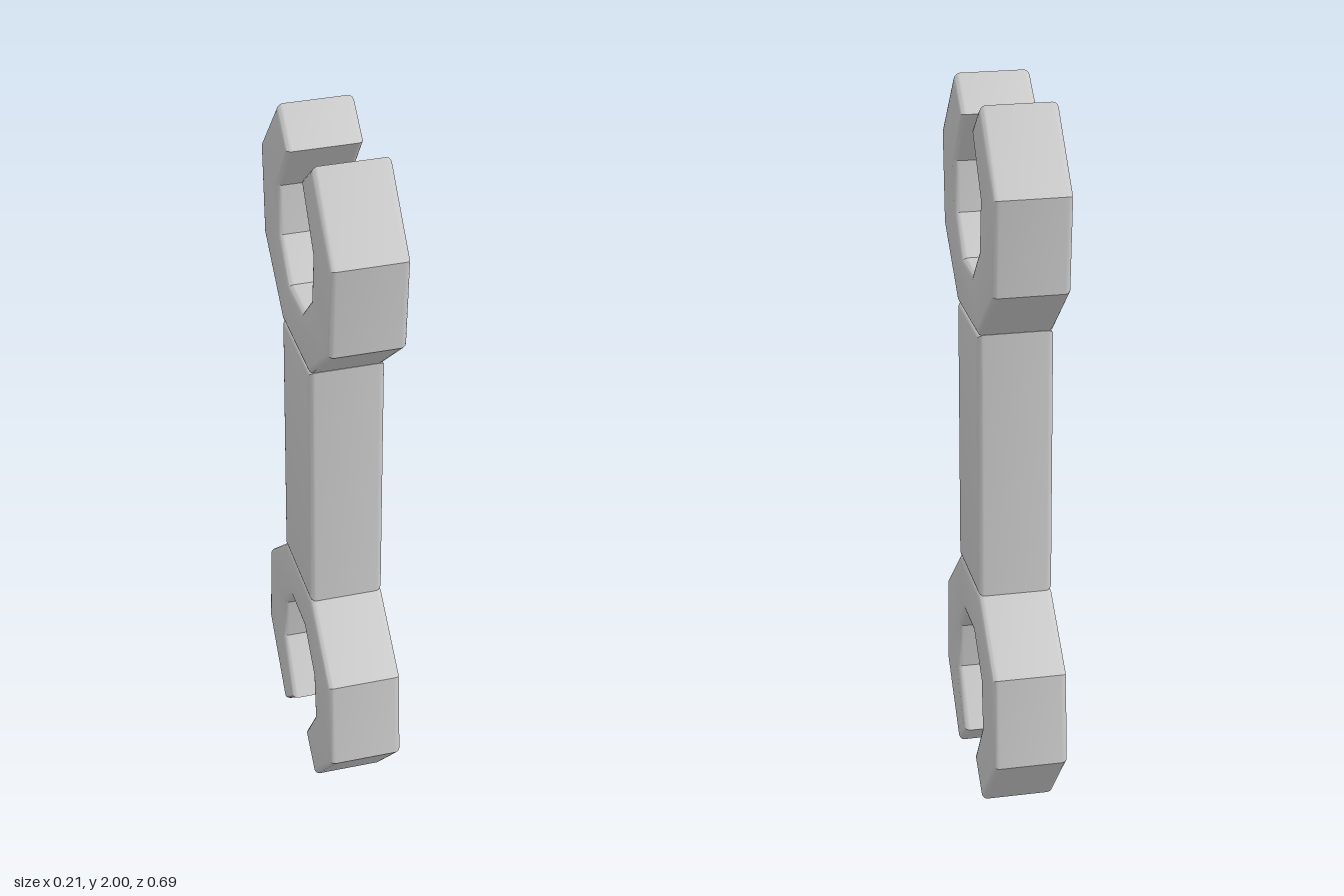
import * as THREE from 'three';
import { toCreasedNormals } from 'three/addons/utils/BufferGeometryUtils.js';

const HALF_THICKNESS = 0.103;
const BEVEL = 0.017;
const MIRROR_SUM = 2.004; // lower parts sit at MIRROR_SUM - y

// Rounded-edge plate: outline given as [z, y], thickness along x
function plate(outline, material, name) {
  const shape = new THREE.Shape(outline.map(([z, y]) => new THREE.Vector2(-z, y)));
  const depth = 2 * (HALF_THICKNESS - BEVEL);
  const geometry = new THREE.ExtrudeGeometry(shape, {
    depth,
    bevelEnabled: true,
    bevelThickness: BEVEL,
    bevelSize: BEVEL,
    bevelOffset: -BEVEL,
    bevelSegments: 4,
  });
  geometry.translate(0, 0, -depth / 2);
  geometry.rotateY(Math.PI / 2);
  const mesh = new THREE.Mesh(toCreasedNormals(geometry, 0.6), material);
  mesh.name = name;
  return mesh;
}

export function createModel() {
  const group = new THREE.Group();
  group.name = 'doubleEndedWrench';
  const metal = new THREE.MeshStandardMaterial({ color: 0xcccccc });

  // Half of the open jaw, from the handle round the outside and back inside
  const half = [
    [0.135, 1.378], [0.325, 1.544], [0.345, 1.804], [0.17, 2.0],
    [0.07, 1.914], [0.178, 1.76], [0.163, 1.622], [0.067, 1.525],
  ];
  const jawOutline = [...half, ...half.map(([z, y]) => [-z, y]).reverse()];

  const upperJaw = plate(jawOutline, metal, 'upperJaw');

  // Same jaw turned upside down
  const lowerJaw = plate(jawOutline, metal, 'lowerJaw');
  lowerJaw.rotation.x = Math.PI;
  lowerJaw.position.y = MIRROR_SUM;

  // Straight handle between the jaws
  const top = 1.38, bottom = MIRROR_SUM - top, w = 0.139;
  const handle = plate([[w, bottom], [w, top], [-w, top], [-w, bottom]], metal, 'handle');

  group.add(upperJaw, handle, lowerJaw);
  return group;
}
